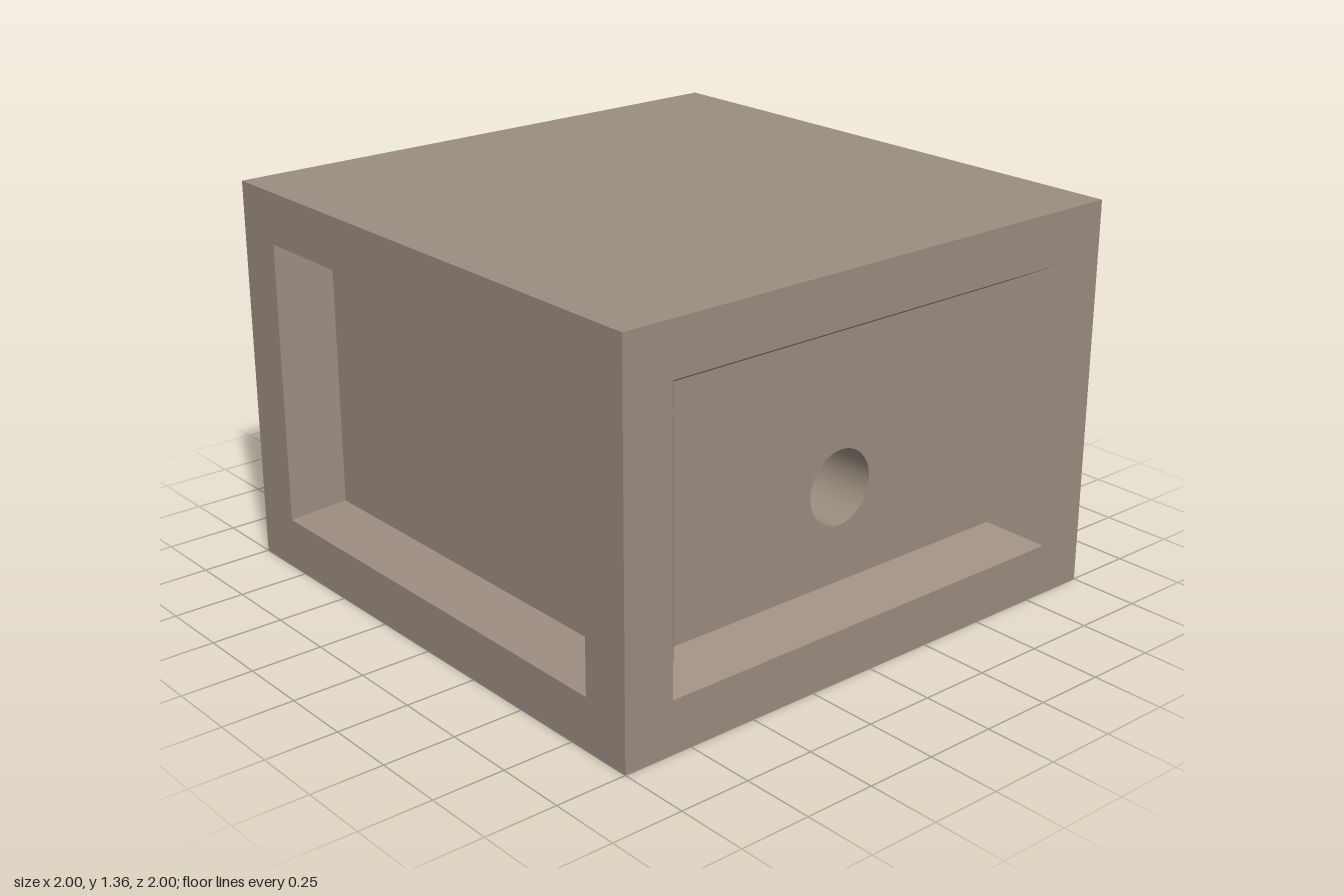
import * as THREE from 'three';

const HEIGHT = 1.355, HALF = 1, DEPTH = 0.144;
const BORE = { y: 0.58, z: 0.012, r: 0.128 };
const SEGMENTS = 48;

// Corner loop of a rectangle, counter-clockwise as seen from +z
const rect = (w, y0, y1, z) => [[-w, y0, z], [w, y0, z], [w, y1, z], [-w, y1, z]];

// Flat-sided band joining an outer loop to an inner one
function band(outer, inner) {
  const points = [];
  outer.forEach((a, i) => {
    const j = (i + 1) % outer.length;
    points.push(...a, ...outer[j], ...inner[j], ...a, ...inner[j], ...inner[i]);
  });
  const geometry = new THREE.BufferGeometry();
  geometry.setAttribute('position', new THREE.Float32BufferAttribute(points, 3));
  geometry.computeVertexNormals();
  return geometry;
}

export function createModel() {
  const model = new THREE.Group();
  model.name = 'recessedBlock';
  const stone = new THREE.MeshStandardMaterial({ color: 0x9b8d80 });
  stone.name = 'warm grey stone';

  const add = (parent, name, geometry) => {
    const mesh = new THREE.Mesh(geometry, stone);
    mesh.name = name;
    parent.add(mesh);
    return mesh;
  };

  // One side: flat rim, sloping recess walls and the sunken panel
  function addSide(name, angle, boreX) {
    const side = new THREE.Group();
    side.name = name;
    const edge = rect(HALF, 0, HEIGHT, HALF);
    const mouth = rect(0.82, 0.18, 1.175, HALF);
    const floor = rect(0.695, 0.255, 1.1, HALF - DEPTH);
    add(side, 'rim', band(edge, mouth));
    add(side, 'recessWalls', band(mouth, floor));

    const shape = new THREE.Shape(floor.map(([x, y]) => new THREE.Vector2(x, y)));
    if (boreX !== undefined) {
      shape.holes.push(new THREE.Path().absarc(boreX, BORE.y, BORE.r, 0, Math.PI * 2, true));
    }
    const panel = new THREE.ShapeGeometry(shape, SEGMENTS);
    add(side, 'panel', panel.translate(0, 0, HALF - DEPTH));
    side.rotation.y = angle;
    model.add(side);
  }
  addSide('frontSide', 0);
  addSide('leftSide', Math.PI / 2, -BORE.z);
  addSide('backSide', Math.PI);
  addSide('rightSide', -Math.PI / 2, BORE.z);

  // Top and bottom faces
  const plane = () => new THREE.PlaneGeometry(2 * HALF, 2 * HALF);
  add(model, 'topFace', plane().rotateX(-Math.PI / 2).translate(0, HEIGHT, 0));
  add(model, 'bottomFace', plane().rotateX(Math.PI / 2));

  // Round bore from side to side, mirrored so that its wall faces inward
  const length = 2 * (HALF - DEPTH);
  const bore = new THREE.CylinderGeometry(BORE.r, BORE.r, length, SEGMENTS, 1, true);
  bore.scale(1, 1, -1);
  const normals = bore.attributes.normal;
  for (let i = 0; i < normals.count; i++) {
    normals.setXYZ(i, -normals.getX(i), -normals.getY(i), -normals.getZ(i));
  }
  add(model, 'bore', bore.rotateZ(Math.PI / 2).translate(0, BORE.y, BORE.z));

  return model;
}
